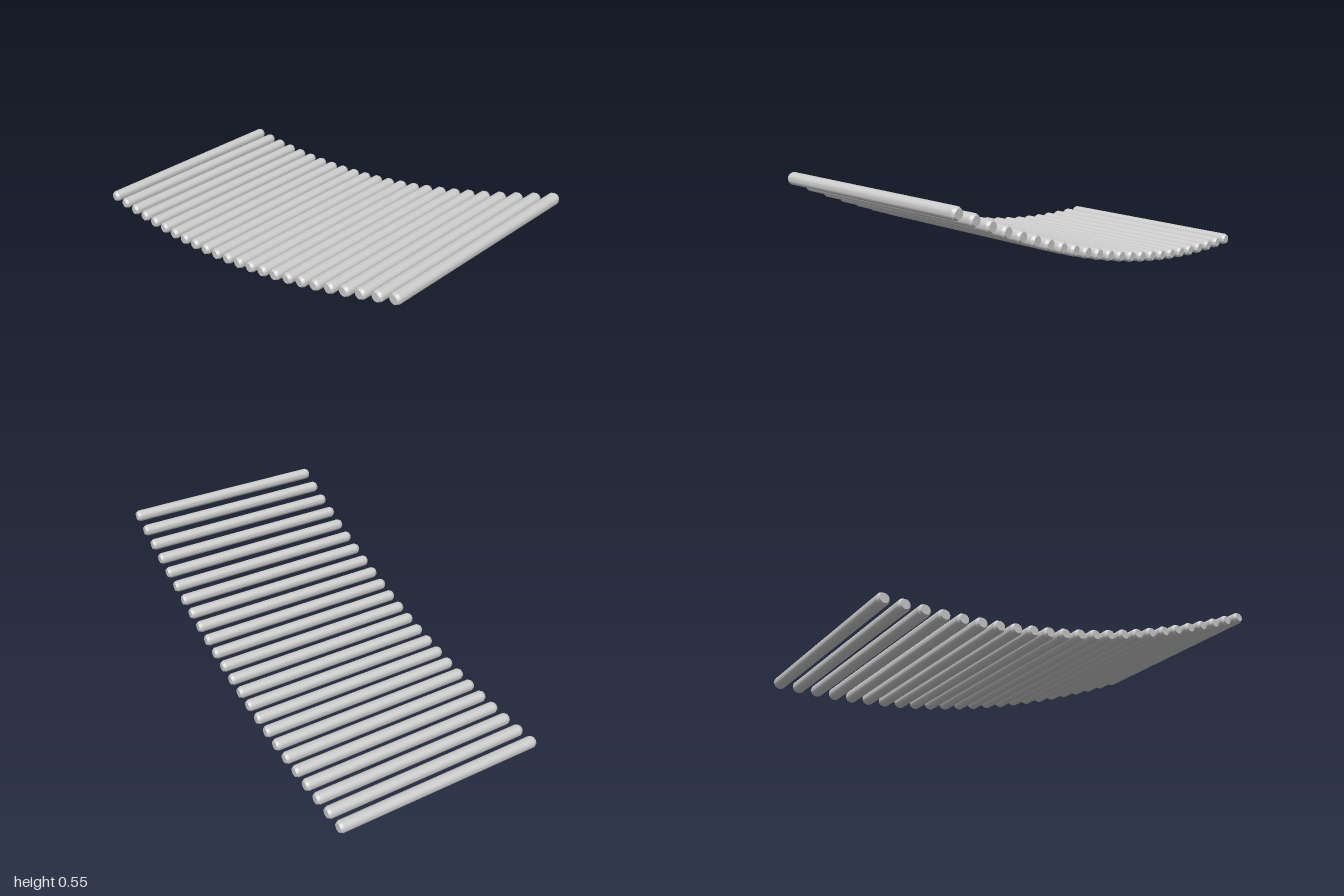
import * as THREE from 'three';
import { toCreasedNormals } from 'three/addons/utils/BufferGeometryUtils.js';

const COUNT = 24;
const RADIUS = 0.0275;
const HALF_LENGTH = 0.5;
const HALF_DEPTH = 1 - RADIUS;
const RISE = 0.4905;

// Solid round rod along x with chamfered ends
function rodGeometry() {
  const endRadius = RADIUS - 0.007;
  const shoulder = HALF_LENGTH - 0.013;
  const profile = [
    [0, -HALF_LENGTH], [endRadius, -HALF_LENGTH], [RADIUS, -shoulder],
    [RADIUS, shoulder], [endRadius, HALF_LENGTH], [0, HALF_LENGTH],
  ].map(([r, y]) => new THREE.Vector2(r, y));
  const geometry = new THREE.LatheGeometry(profile, 24);
  geometry.rotateZ(Math.PI / 2);
  return toCreasedNormals(geometry, 0.45);
}

export function createModel() {
  const group = new THREE.Group();
  group.name = 'curvedRodSlope';
  const geometry = rodGeometry();
  const material = new THREE.MeshStandardMaterial({ color: 0xcccccc });

  // Rods rise from back to front on a parabola, slightly wider apart at the ends
  for (let i = 0; i < COUNT; i++) {
    const t = i / (COUNT - 1);
    const u = 2 * t - 1;
    const rod = new THREE.Mesh(geometry, material);
    rod.name = `rod${i + 1}`;
    rod.position.set(0, RADIUS + RISE * t * t, HALF_DEPTH * (u + 0.027 * (u ** 3 - u)));
    group.add(rod);
  }
  return group;
}
